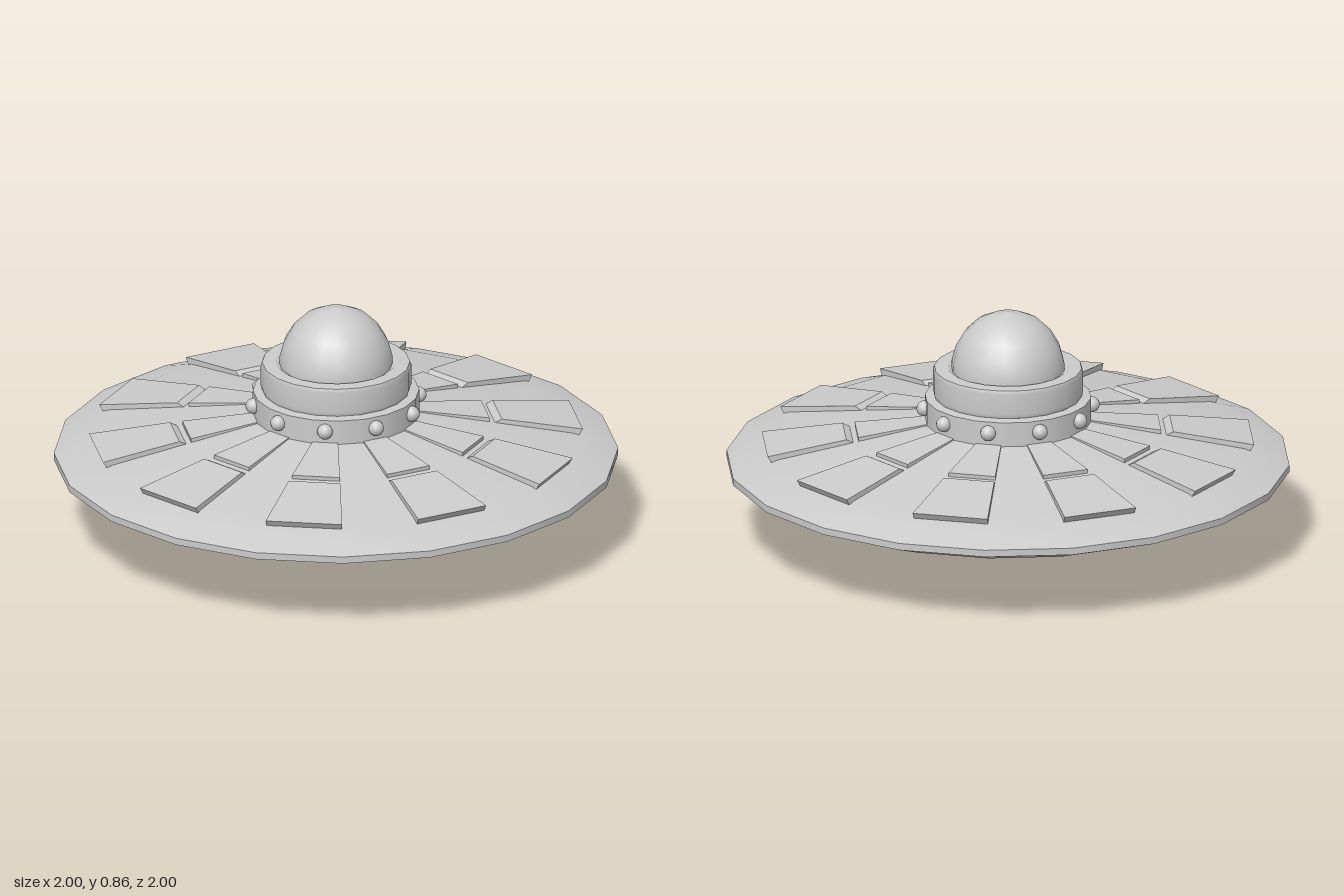
import * as THREE from 'three';

const SIDES = 20;
const COUNT = 10; // panels and lamps around the hull
const material = new THREE.MeshStandardMaterial({ color: 0xcccccc });

// Height of the hull's upper surface at radius r
const hullTop = r => 0.45 - (r - 0.3) * 0.157;

function addMesh(parent, name, geometry) {
  const mesh = new THREE.Mesh(geometry, material);
  mesh.name = name;
  parent.add(mesh);
  return mesh;
}

// Turned part; each profile runs upward/outward, is smooth in itself and creased against the next
function turned(parent, name, ...profiles) {
  const group = new THREE.Group();
  group.name = name;
  for (const profile of profiles) {
    const points = profile.map(([r, y]) => new THREE.Vector2(r, y));
    addMesh(group, name + 'Surface', new THREE.LatheGeometry(points, SIDES));
  }
  parent.add(group);
}

// Closed sector with radial sides, swept from a counterclockwise [radius, height] section
function sector(section, angle) {
  const at = a => section.map(([r, y]) => [r * Math.cos(a), y, -r * Math.sin(a)]);
  const p = at(0), q = at(angle), n = section.length;
  const corners = [];
  for (let i = 0; i < n; i++) {
    const j = (i + 1) % n;
    corners.push(p[i], q[i], q[j], p[i], q[j], p[j]);
    if (i > 0 && i < n - 1) corners.push(p[0], p[i], p[j], q[0], q[j], q[i]);
  }
  const geometry = new THREE.BufferGeometry();
  geometry.setAttribute('position', new THREE.Float32BufferAttribute(corners.flat(), 3));
  geometry.computeVertexNormals();
  return geometry;
}

export function createModel() {
  const model = new THREE.Group();
  model.name = 'flyingSaucer';

  // Wide hull with a thin rim
  turned(model, 'hull',
    [[0.2, 0.099], [0.245, 0.107], [0.82, 0.215], [1, 0.283]],
    [[1, 0.283], [1, 0.308]],
    [[1, 0.308], [0.84, hullTop(0.84)], [0.28, hullTop(0.28)]]);

  // Shallow bowl below
  turned(model, 'lowerBowl',
    [[0, 0], [0.07, 0.008], [0.14, 0.027], [0.2, 0.053], [0.23, 0.073]],
    [[0.23, 0.073], [0.245, 0.085], [0.245, 0.11]]);

  // Stepped neck
  turned(model, 'lampRing',
    [[0.295, 0.43], [0.295, 0.54]],
    [[0.295, 0.54], [0.25, 0.545]]);
  turned(model, 'collar',
    [[0.25, 0.54], [0.262, 0.545]],
    [[0.262, 0.545], [0.267, 0.56], [0.267, 0.635], [0.262, 0.648]],
    [[0.262, 0.648], [0.215, 0.65]],
    [[0.215, 0.65], [0.198, 0.64]]);

  // Slightly pointed dome
  turned(model, 'dome',
    [[0.2, 0.635], [0.2, 0.67], [0.185, 0.725], [0.155, 0.776],
      [0.112, 0.818], [0.06, 0.842], [0, 0.855]]);

  // Raised hull panels in pairs, and a lamp above each pair
  const lift = 0.021;
  const angle = Math.PI * 2 / SIDES;
  const innerPanel = sector([
    [0.28, hullTop(0.28) - 0.01], [0.543, hullTop(0.543) - 0.01],
    [0.545, hullTop(0.545) + lift * 0.7], [0.28, hullTop(0.28) + lift * 0.2]], angle);
  const outerPanel = sector([
    [0.56, hullTop(0.56) - 0.002], [0.86, hullTop(0.86) - 0.006],
    [0.875, hullTop(0.875) + lift], [0.588, hullTop(0.588) + lift * 0.8]], angle);
  const lampGeometry = new THREE.SphereGeometry(0.028, 12, 8);

  for (let i = 0; i < COUNT; i++) {
    const turn = i * Math.PI * 2 / COUNT;
    addMesh(model, 'innerPanel', innerPanel).rotation.y = turn;
    addMesh(model, 'outerPanel', outerPanel).rotation.y = turn;
    const a = turn + angle / 2;
    addMesh(model, 'lamp', lampGeometry)
      .position.set(0.298 * Math.cos(a), 0.5, -0.298 * Math.sin(a));
  }
  return model;
}
